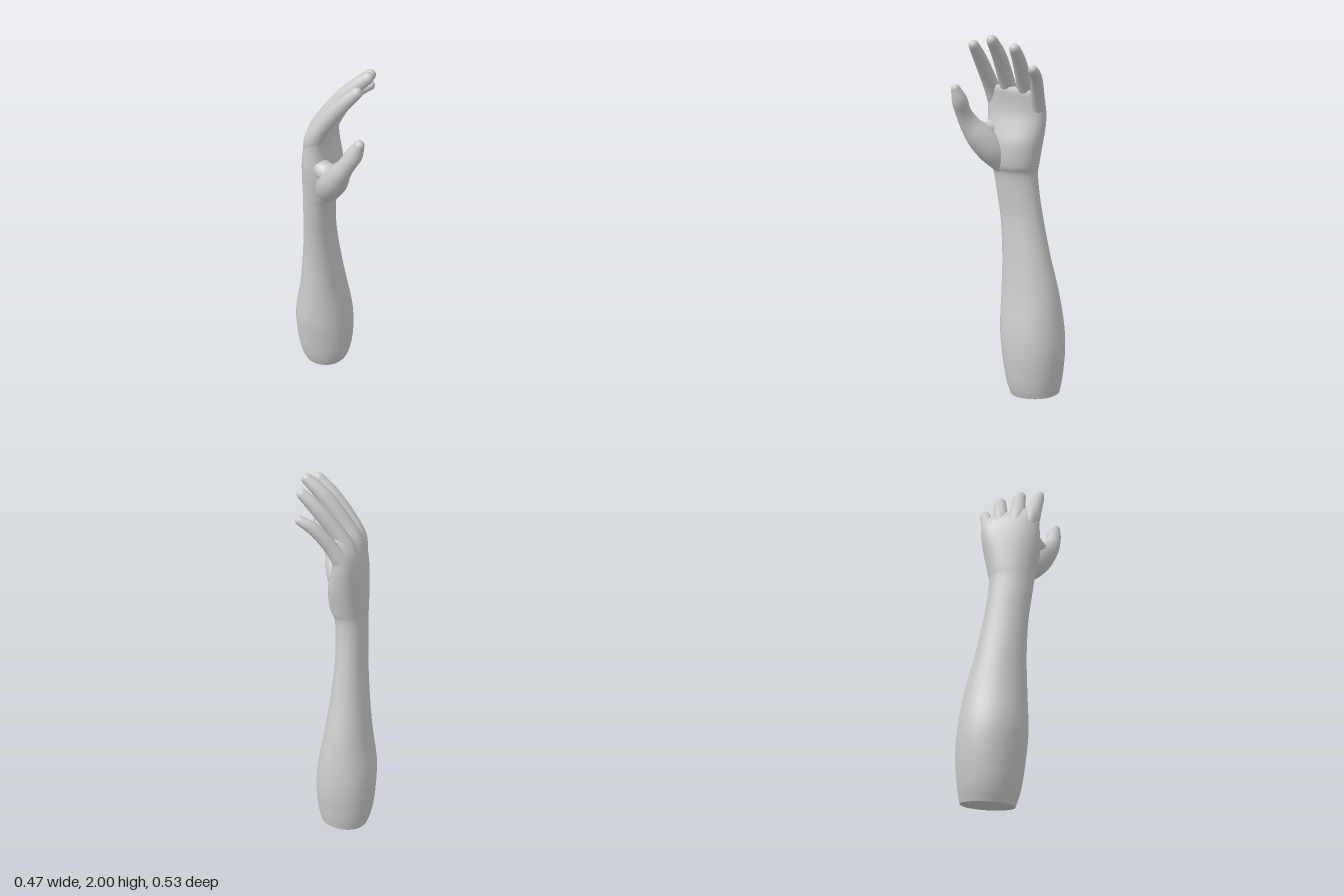
import * as THREE from 'three';

const V = (x, y, z) => new THREE.Vector3(x, y, z);
const material = new THREE.MeshStandardMaterial({ color: 0xcccccc });

// Smoothly interpolates every column of a short table of key rows.
function smoothRows(rows, steps) {
  const cubic = (a, b, c, d, t) =>
    b + 0.5 * t * (c - a + t * (2 * a - 5 * b + 4 * c - d + t * (3 * (b - c) + d - a)));
  const out = [];
  const last = rows.length - 1;
  for (let i = 0; i < last; i++) {
    const [p, q, r, s] = [rows[Math.max(i - 1, 0)], rows[i], rows[i + 1], rows[Math.min(i + 2, last)]];
    for (let k = 0; k < steps; k++) out.push(q.map((_, c) => cubic(p[c], q[c], r[c], s[c], k / steps)));
  }
  out.push(rows[last]);
  return out;
}

// Skins closed rings of points; vertices are shared so the normals stay smooth.
function loft(name, rings) {
  const n = rings[0].length;
  const index = [];
  for (let i = 0; i < rings.length - 1; i++) {
    for (let j = 0; j < n; j++) {
      const a = i * n + j, b = i * n + (j + 1) % n;
      index.push(a, b, a + n, b, b + n, a + n);
    }
  }
  const geometry = new THREE.BufferGeometry().setFromPoints(rings.flat());
  geometry.setIndex(index);
  geometry.computeVertexNormals();
  const mesh = new THREE.Mesh(geometry, material);
  mesh.name = name;
  return mesh;
}

// Rounded-rectangle ring: height, x range, z range, squareness, slope along x and z.
function armRing([y, x0, x1, z0, z1, power, slopeX, slopeZ], sides = 28) {
  const soft = (v) => Math.sign(v) * Math.abs(v) ** (2 / power);
  return Array.from({ length: sides }, (_, j) => {
    const a = (j / sides) * Math.PI * 2;
    const dx = soft(Math.cos(a)) * (x1 - x0) / 2;
    const dz = -soft(Math.sin(a)) * (z1 - z0) / 2;
    return V((x0 + x1) / 2 + dx, y + slopeX * dx + slopeZ * dz, (z0 + z1) / 2 + dz);
  });
}

// Digit along rows of x, y, z, radius, ending in a round tip.
function digit(name, rows, sides = 16) {
  const path = smoothRows(rows, 5);
  const points = path.map(([x, y, z]) => V(x, y, z));
  const ring = (centre, tangent, radius) => {
    const side = V(0, 0, 1).addScaledVector(tangent, -tangent.z).normalize();
    const up = tangent.clone().cross(side);
    return Array.from({ length: sides }, (_, j) => {
      const a = (j / sides) * Math.PI * 2;
      return centre.clone()
        .addScaledVector(side, radius * Math.cos(a))
        .addScaledVector(up, radius * Math.sin(a));
    });
  };
  const end = points.length - 1;
  const rings = points.map((p, i) => {
    const tangent = points[Math.min(i + 1, end)].clone().sub(points[Math.max(i - 1, 0)]).normalize();
    return ring(p, tangent, path[i][3]);
  });
  const tangent = points[end].clone().sub(points[end - 1]).normalize();
  const r = path[end][3];
  for (let k = 1; k <= 5; k++) {
    const a = (k / 5) * Math.PI / 2;
    rings.push(ring(points[end].clone().addScaledVector(tangent, r * Math.sin(a)), tangent, r * Math.cos(a)));
  }
  return loft(name, rings);
}

export function createModel() {
  const group = new THREE.Group();
  group.name = 'armAndHand';

  // Forearm, wrist and palm as one continuous skin
  const sections = smoothRows([
    [0.013, -0.20, 0.07, -0.24, 0.035, 2.1, 0.06, -0.07],
    [0.10, -0.225, 0.09, -0.253, 0.065, 2.1, 0.02, -0.02],
    [0.25, -0.238, 0.10, -0.266, 0.09, 2.1, 0, 0],
    [0.40, -0.235, 0.09, -0.26, 0.105, 2.1, 0, 0],
    [0.60, -0.20, 0.055, -0.23, 0.102, 2.1, 0, 0],
    [0.80, -0.175, 0.03, -0.18, 0.10, 2.1, 0, 0],
    [1.00, -0.155, 0.012, -0.138, 0.11, 2.2, 0, 0],
    [1.15, -0.147, 0.015, -0.115, 0.13, 2.2, 0, 0],
    [1.26, -0.142, 0.025, -0.108, 0.145, 2.2, 0, 0],
    [1.31, -0.143, 0.048, -0.118, 0.155, 2.2, 0, 0],
    [1.42, -0.14, 0.055, -0.14, 0.175, 2.3, 0, 0],
    [1.50, -0.135, 0.038, -0.152, 0.18, 2.4, 0, 0.03],
    [1.58, -0.125, 0.02, -0.16, 0.178, 2.4, 0, 0.08],
    [1.65, -0.105, 0.018, -0.16, 0.178, 2.4, 0, 0.12],
    [1.70, -0.07, 0.022, -0.15, 0.17, 2.3, 0, 0.13],
    [1.725, -0.035, 0.018, -0.125, 0.145, 2.2, 0, 0.13],
  ], 4);
  const skin = sections.map((row) => armRing(row));
  const topRing = skin[skin.length - 1];
  const topCentre = V(-0.01, 1.732, 0.01);
  skin.push(topRing.map(() => topCentre));
  group.add(loft('forearmAndPalm', skin));

  // Flat cut at the elbow end
  const cutCentre = V(-0.065, 0.013, -0.1025);
  group.add(loft('elbowCap', [skin[0].map(() => cutCentre), skin[0]]));

  // Four fingers curling forward
  group.add(digit('indexFinger', [
    [-0.075, 1.56, 0.12, 0.035],
    [-0.052, 1.65, 0.133, 0.048],
    [-0.01, 1.73, 0.141, 0.043],
    [0.055, 1.82, 0.145, 0.039],
    [0.11, 1.885, 0.146, 0.035],
    [0.165, 1.943, 0.146, 0.028],
  ]));
  group.add(digit('middleFinger', [
    [-0.085, 1.57, 0.05, 0.035],
    [-0.058, 1.66, 0.05, 0.05],
    [-0.012, 1.745, 0.046, 0.044],
    [0.06, 1.845, 0.038, 0.041],
    [0.12, 1.91, 0.032, 0.037],
    [0.185, 1.967, 0.028, 0.029],
  ]));
  group.add(digit('ringFinger', [
    [-0.08, 1.56, -0.03, 0.035],
    [-0.055, 1.645, -0.043, 0.048],
    [-0.012, 1.725, -0.057, 0.042],
    [0.052, 1.81, -0.073, 0.039],
    [0.11, 1.875, -0.084, 0.035],
    [0.165, 1.925, -0.091, 0.028],
  ]));
  group.add(digit('littleFinger', [
    [-0.065, 1.53, -0.1, 0.035],
    [-0.045, 1.61, -0.118, 0.043],
    [-0.005, 1.68, -0.136, 0.037],
    [0.048, 1.75, -0.158, 0.033],
    [0.095, 1.795, -0.173, 0.03],
    [0.142, 1.822, -0.182, 0.025],
  ]));

  // Thumb with its fleshy base
  group.add(digit('thumb', [
    [-0.02, 1.30, 0.07, 0.05],
    [0.02, 1.38, 0.115, 0.075],
    [0.065, 1.46, 0.168, 0.074],
    [0.105, 1.53, 0.208, 0.055],
    [0.145, 1.595, 0.224, 0.043],
    [0.182, 1.66, 0.224, 0.042],
    [0.207, 1.72, 0.232, 0.026],
  ]));

  // Soft web between thumb and index side
  group.add(digit('thumbWeb', [
    [-0.06, 1.55, 0.12, 0.045],
    [-0.01, 1.50, 0.14, 0.05],
    [0.045, 1.49, 0.165, 0.05],
    [0.10, 1.53, 0.20, 0.042],
  ]));

  return group;
}
